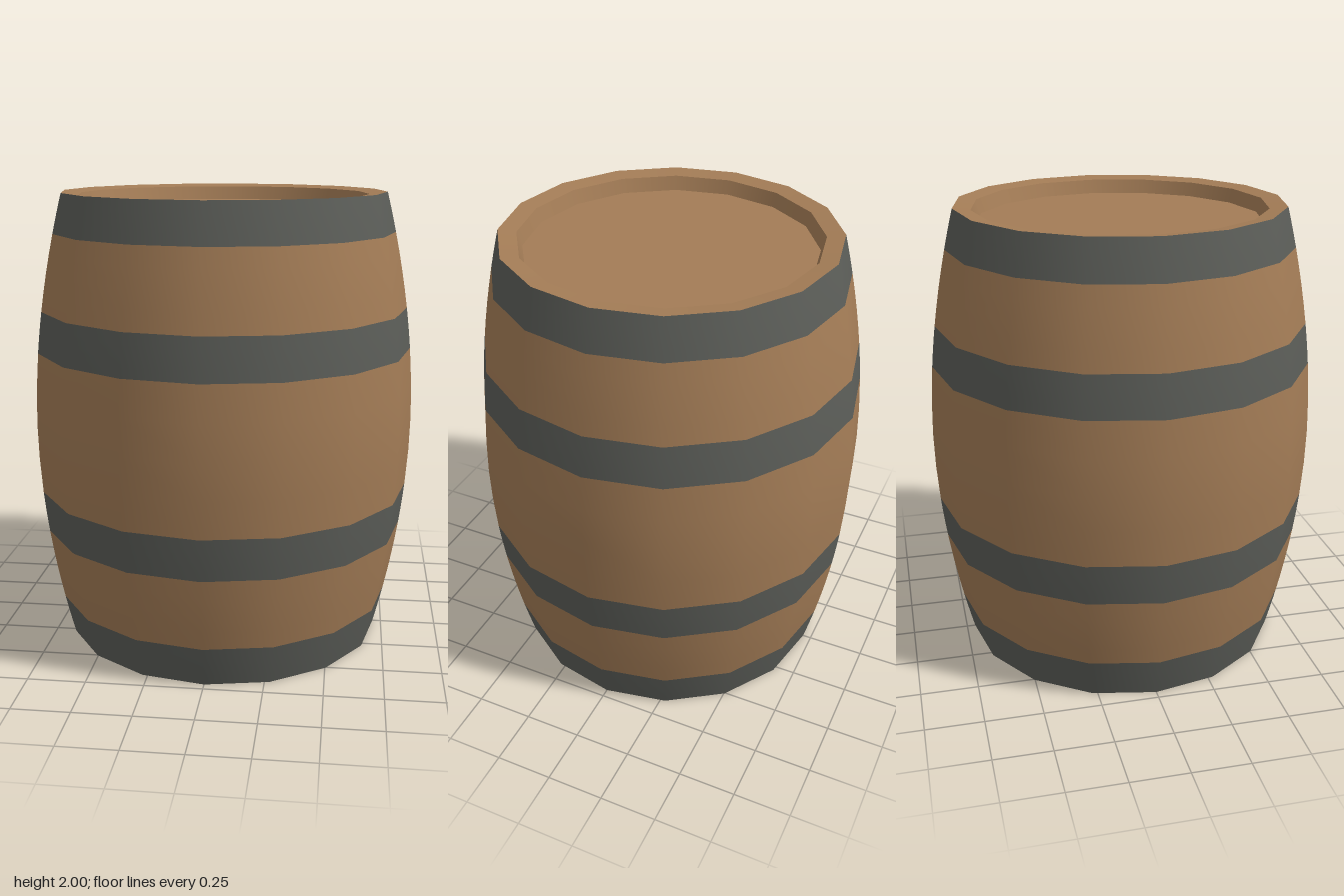
import * as THREE from 'three';

const SIDES = 16;

// Bulging barrel radius at height y (0..2)
const radiusAt = (y) => 0.85 - 0.138 * Math.pow(Math.abs(y - 1), 1.9);

export function createModel() {
  const group = new THREE.Group();
  const wood = new THREE.MeshStandardMaterial({ color: 0xa37c56 });
  wood.name = 'wood';
  const iron = new THREE.MeshStandardMaterial({ color: 0x5b5d58 });
  iron.name = 'iron';

  const ring = (name, points, material) => {
    const profile = points.map(([r, y]) => new THREE.Vector2(r, y));
    const mesh = new THREE.Mesh(new THREE.LatheGeometry(profile, SIDES), material);
    mesh.name = name;
    group.add(mesh);
  };

  // Staves and flush hoops, alternating from bottom to top
  const heights = [0, 0.18, 0.505, 0.69, 1.32, 1.5, 1.83, 2];
  for (let i = 0; i < heights.length - 1; i++) {
    const points = [];
    for (let k = 0; k <= 4; k++) {
      const y = THREE.MathUtils.lerp(heights[i], heights[i + 1], k / 4);
      points.push([radiusAt(y), y]);
    }
    const isHoop = i % 2 === 0;
    ring(isHoop ? 'hoop' : 'staves', points, isHoop ? iron : wood);
  }

  // Rim, inner wall and recessed head at each end, each with hard edges
  const end = [[radiusAt(2), 2], [0.635, 1.99], [0.615, 1.93], [0, 1.93]];
  ['Rim', 'InnerWall', 'Head'].forEach((part, i) => {
    const [a, b] = [end[i], end[i + 1]];
    ring('top' + part, [a, b], wood);
    ring('bottom' + part, [[b[0], 2 - b[1]], [a[0], 2 - a[1]]], wood);
  });

  return group;
}
